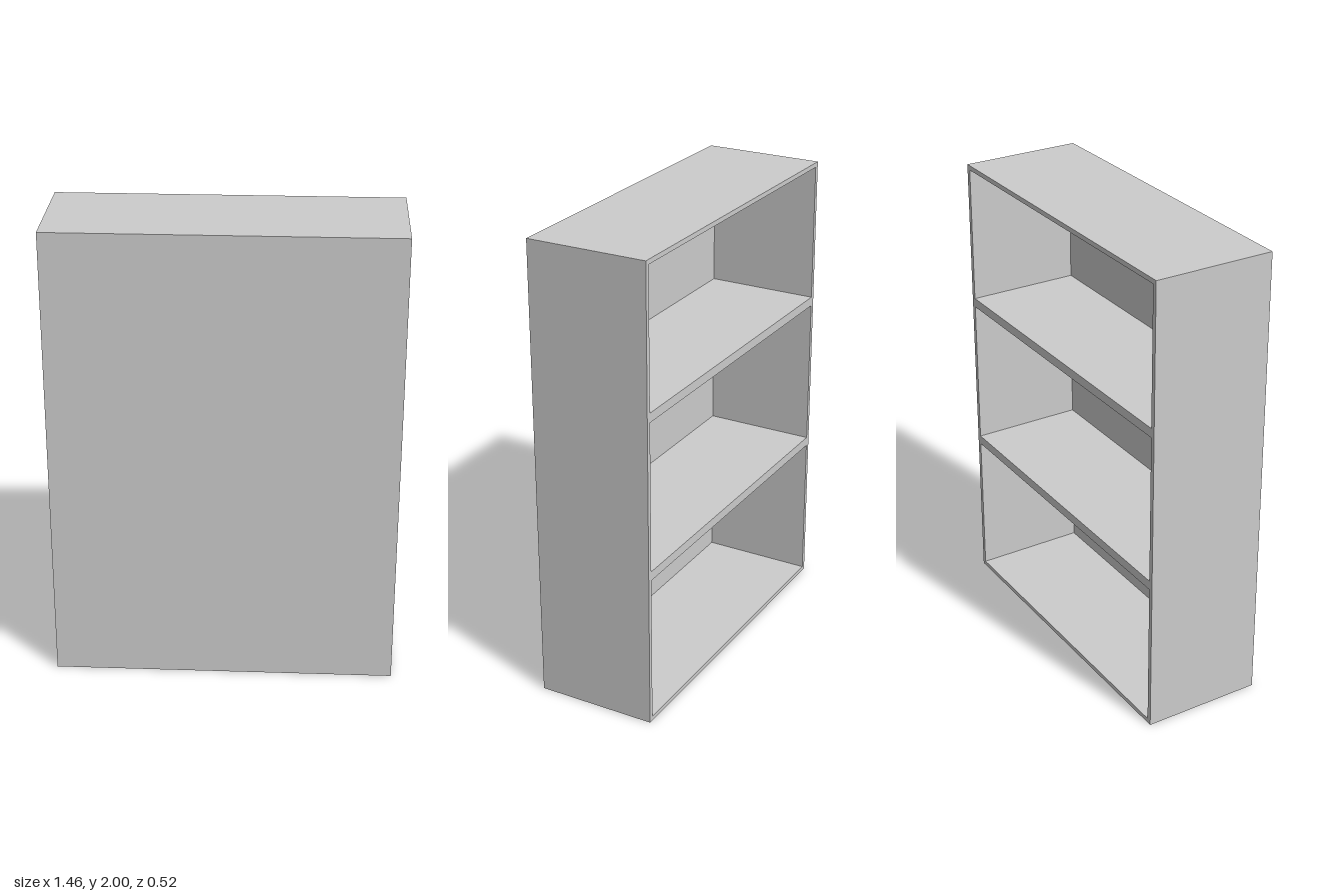
import * as THREE from 'three';

const W = 1.46, H = 2, D = 0.52; // overall size
const T = 0.02;                  // board thickness
const PANEL = 0.03;              // closed front panel thickness
const SHELF = 0.04;              // shelf thickness
const SHELF_Y = [0.68, 1.367];   // shelf centre heights

export function createModel() {
  const group = new THREE.Group();
  group.name = 'bookcase';
  const material = new THREE.MeshStandardMaterial({ color: 0xcccccc });

  const board = (name, w, h, d, x, y, z) => {
    const mesh = new THREE.Mesh(new THREE.BoxGeometry(w, h, d), material);
    mesh.name = name;
    mesh.position.set(x, y, z);
    group.add(mesh);
  };

  // Closed panel on the +z side; the compartments open towards -z
  board('panel', W, H, PANEL, 0, H / 2, D / 2 - PANEL / 2);

  const depth = D - PANEL, z = -PANEL / 2, inner = W - 2 * T;

  // Side boards
  board('leftSide', T, H, depth, W / 2 - T / 2, H / 2, z);
  board('rightSide', T, H, depth, -W / 2 + T / 2, H / 2, z);

  // Top and bottom boards between the sides
  board('topBoard', inner, T, depth, 0, H - T / 2, z);
  board('bottomBoard', inner, T, depth, 0, T / 2, z);

  // Shelves
  SHELF_Y.forEach((y, i) => board(`shelf${i + 1}`, inner, SHELF, depth, 0, y, z));

  return group;
}
